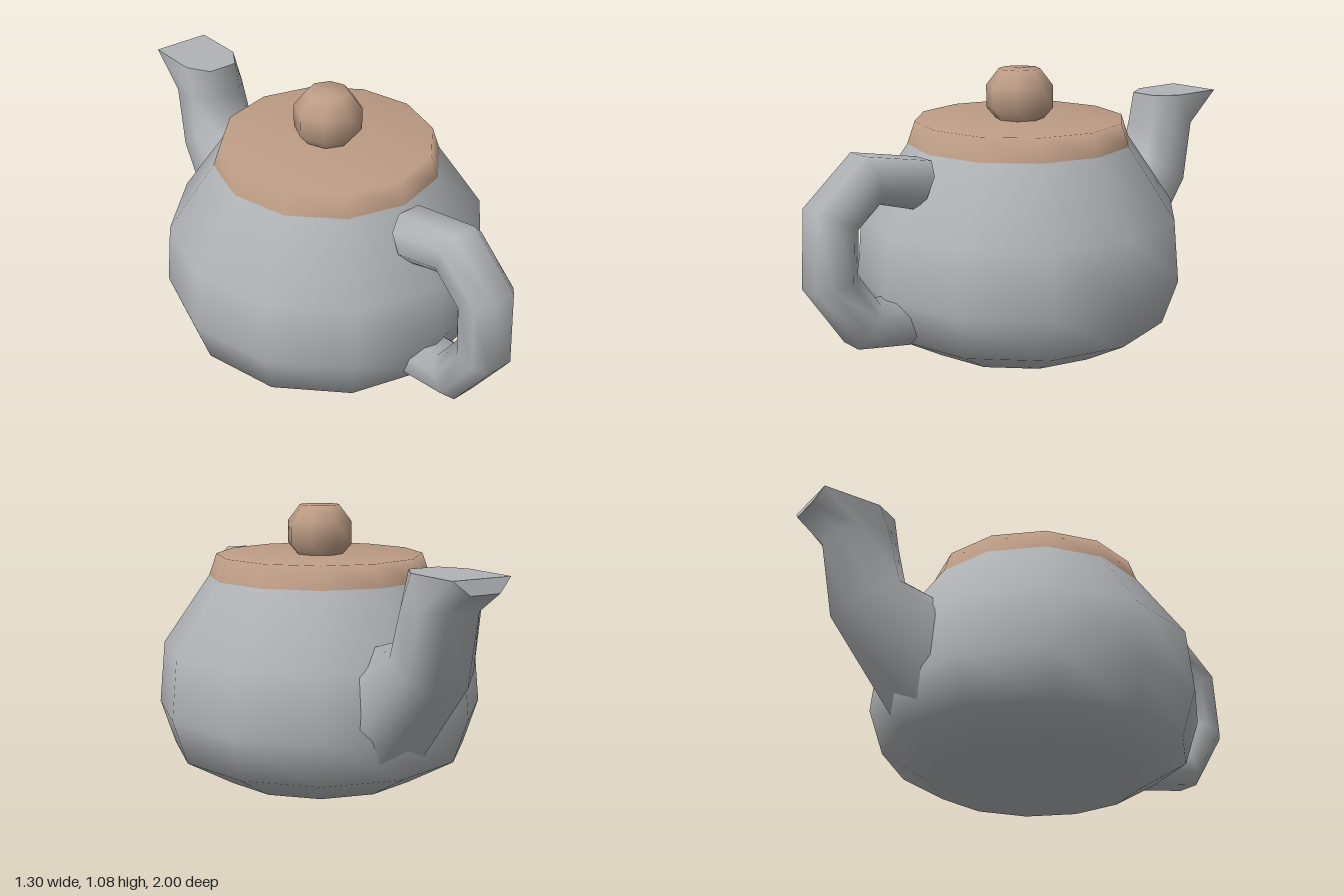
import * as THREE from 'three';

const SIDES = 12;
const AXIS_Z = 0.04; // the pot sits slightly forward of the centre

const metal = new THREE.MeshStandardMaterial({ color: 0xb0b3b6 });
metal.name = 'grey metal';
const wood = new THREE.MeshStandardMaterial({ color: 0xbd9c85 });
wood.name = 'brown wood';

function addMesh(group, name, geometry, material) {
  const mesh = new THREE.Mesh(geometry, material);
  mesh.name = name;
  group.add(mesh);
  return mesh;
}

function lathe(profile, sides) {
  return new THREE.LatheGeometry(profile.map(([r, y]) => new THREE.Vector2(r, y)), sides);
}

// Eight-point ring, mirrored in x, between an outer and an inner [z, y] point.
function ring({ outer, inner, w, shoulder }) {
  const at = (t) => [outer[0] + (inner[0] - outer[0]) * t, outer[1] + (inner[1] - outer[1]) * t];
  const half = [
    [w * 0.5, outer],
    [w, shoulder || at(0.28)],
    [w, at(0.72)],
    [w * 0.52, inner],
  ].map(([x, [z, y]]) => [x, y, z]);
  return [...half, ...half.slice().reverse().map(([x, y, z]) => [-x, y, z])];
}

// Smooth skin through the rings.
function skin(rings) {
  const n = rings[0].length;
  const index = [];
  for (let j = 0; j < rings.length - 1; j++) {
    for (let k = 0; k < n; k++) {
      const a = j * n + k, b = j * n + (k + 1) % n;
      index.push(a, a + n, b + n, a, b + n, b);
    }
  }
  const g = new THREE.BufferGeometry();
  g.setAttribute('position', new THREE.Float32BufferAttribute(rings.flat(2), 3));
  g.setIndex(index);
  g.computeVertexNormals();
  return g;
}

// Flat faceted cover over one ring.
function cap(points, atEnd) {
  const n = points.length;
  const pos = [];
  for (let i = 1; i < n - 1; i++) {
    const b = points[(1 + i) % n], c = points[(2 + i) % n];
    pos.push(...points[1], ...(atEnd ? c : b), ...(atEnd ? b : c));
  }
  const g = new THREE.BufferGeometry();
  g.setAttribute('position', new THREE.Float32BufferAttribute(pos, 3));
  g.computeVertexNormals();
  return g;
}

function loftedPart(name, sections) {
  const part = new THREE.Group();
  part.name = name;
  const rings = sections.map(ring);
  addMesh(part, name + 'Tube', skin(rings), metal);
  addMesh(part, name + 'Start', cap(rings[0], false), metal);
  addMesh(part, name + 'End', cap(rings[rings.length - 1], true), metal);
  return part;
}

export function createModel() {
  const model = new THREE.Group();
  model.name = 'teapot';

  // Round pot, lid and knob share one upright axis
  const pot = new THREE.Group();
  pot.name = 'pot';
  pot.position.z = AXIS_Z;
  model.add(pot);
  addMesh(pot, 'body', lathe([
    [0, 0], [0.4, 0], [0.59, 0.11], [0.648, 0.285], [0.625, 0.53], [0.44, 0.8],
  ], SIDES), metal);
  addMesh(pot, 'lid', lathe([[0.44, 0.8], [0.41, 0.887], [0, 0.887]], SIDES), wood);
  addMesh(pot, 'knob', lathe([
    [0, 0.87], [0.08, 0.87], [0.13, 0.927], [0.13, 1.015], [0.08, 1.08], [0, 1.08],
  ], 8), wood);

  // Handle loops out of the front of the pot, from top to bottom
  model.add(loftedPart('handle', [
    { outer: [0.5, 0.79], inner: [0.58, 0.62], w: 0.097 },
    { outer: [0.78, 0.845], inner: [0.73, 0.665], w: 0.097 },
    { outer: [0.98, 0.675], inner: [0.82, 0.59], w: 0.097 },
    { outer: [1.0, 0.385], inner: [0.83, 0.425], w: 0.097 },
    { outer: [0.84, 0.145], inner: [0.74, 0.29], w: 0.097 },
    { outer: [0.56, 0.095], inner: [0.58, 0.27], w: 0.097 },
  ]));

  // Spout rises from the back to a level mouth with a small lip
  model.add(loftedPart('spout', [
    { outer: [-0.5, 0.13], inner: [-0.45, 0.59], w: 0.2 },
    { outer: [-0.83, 0.5], inner: [-0.61, 0.645], w: 0.145 },
    { outer: [-0.89, 0.78], inner: [-0.64, 0.78], w: 0.13 },
    { outer: [-1.0, 0.855], inner: [-0.66, 0.905], w: 0.12, shoulder: [-0.98, 0.905] },
  ].map((s, i) => (i === 3 ? { ...s, level: true } : s))
    .map((s) => s)));

  // Level the mouth so that only the lip drops below it
  const spout = model.getObjectByName('spout');
  for (const mesh of spout.children) {
    const p = mesh.geometry.attributes.position;
    for (let i = 0; i < p.count; i++) {
      if (p.getY(i) > 0.86) p.setY(i, 0.905);
    }
    if (mesh.name === 'spoutEnd') mesh.geometry.computeVertexNormals();
  }
  return model;
}
